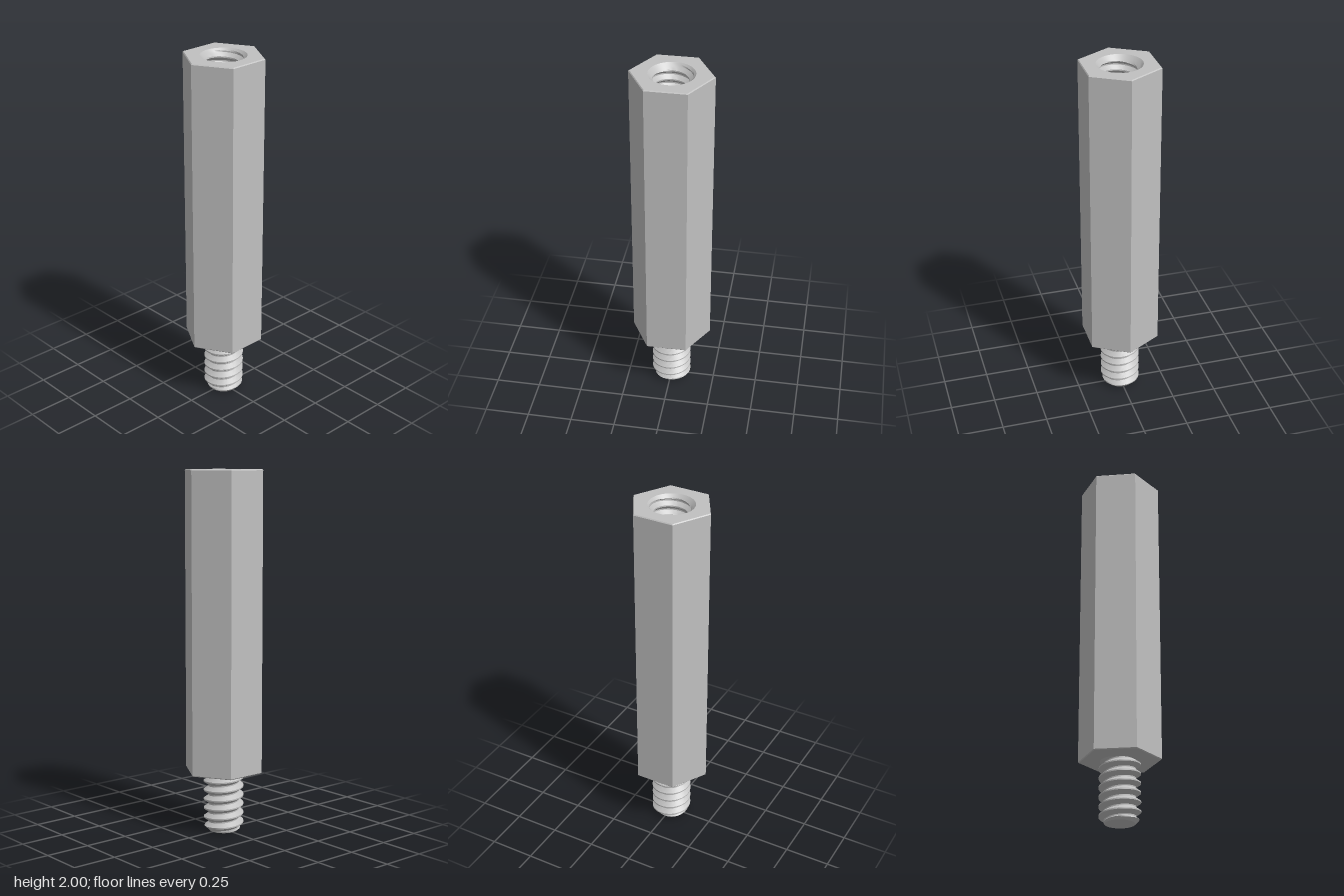
import * as THREE from 'three';
import { toCreasedNormals } from 'three/addons/utils/BufferGeometryUtils.js';

const PITCH = 0.0515;
const SEGMENTS = 64;
const STUD_TOP = 0.34;
const TOP = 2;
const HEX_RADIUS = 0.223;
const CHAMFER = 0.005;
const MOUTH_RADIUS = 0.123;
const BORE_FLOOR = 1.15;

// One tooth: [fraction of pitch, height from root (0) to crest (1)]
const TOOTH = [[0, 0], [0.14, 0], [0.26, 0.33], [0.38, 0.67], [0.5, 1], [0.64, 1], [0.76, 0.67], [0.88, 0.33]];

// Right-handed helical thread from y0 to y1; limit(r, y) trims it to its lead-in cone.
function threadGeometry(y0, y1, root, crest, limit, inward) {
  const turns = Math.ceil((y1 - y0) / PITCH) + 1;
  const rows = [];
  for (let k = -1; k < turns; k++) {
    for (const [f, h] of TOOTH) rows.push([y0 + (k + f) * PITCH, root + (crest - root) * h]);
  }
  const positions = [];
  const index = [];
  for (const [y, radius] of rows) {
    for (let i = 0; i <= SEGMENTS; i++) {
      const angle = (i / SEGMENTS) * Math.PI * 2;
      const height = THREE.MathUtils.clamp(y + (i / SEGMENTS) * PITCH, y0, y1);
      const r = limit(radius, height);
      positions.push(r * Math.cos(angle), height, -r * Math.sin(angle));
    }
  }
  const addTriangle = (a, b, c) => {
    const ys = [a, b, c].map((v) => positions[v * 3 + 1]);
    if (Math.max(...ys) - Math.min(...ys) < 1e-7) return; // trimmed away
    index.push(a, ...(inward ? [c, b] : [b, c]));
  };
  for (let j = 0; j < rows.length - 1; j++) {
    for (let i = 0; i < SEGMENTS; i++) {
      const a = j * (SEGMENTS + 1) + i;
      const d = a + SEGMENTS + 1;
      addTriangle(a, a + 1, d + 1);
      addTriangle(a, d + 1, d);
    }
  }
  const geometry = new THREE.BufferGeometry();
  geometry.setAttribute('position', new THREE.Float32BufferAttribute(positions, 3));
  geometry.setIndex(index);
  return toCreasedNormals(geometry, 0.35);
}

function disc(radius, y, facingUp) {
  const geometry = new THREE.CircleGeometry(radius, SEGMENTS);
  geometry.rotateX(facingUp ? -Math.PI / 2 : Math.PI / 2);
  return geometry.translate(0, y, 0);
}

export function createModel() {
  const group = new THREE.Group();
  group.name = 'hexStandoff';
  const metal = new THREE.MeshStandardMaterial({ color: 0xc0c0c0 });
  metal.name = 'metal';

  const add = (name, geometry) => {
    const mesh = new THREE.Mesh(geometry, metal);
    mesh.name = name;
    group.add(mesh);
  };

  // Hexagonal body with its underside and fine chamfers
  const inner = HEX_RADIUS - CHAMFER;
  const profile = [
    [0, STUD_TOP], [inner, STUD_TOP], [HEX_RADIUS, STUD_TOP + CHAMFER],
    [HEX_RADIUS, TOP - CHAMFER], [inner, TOP],
  ].map(([r, y]) => new THREE.Vector2(r, y));
  const body = new THREE.LatheGeometry(profile, 6, Math.PI / 2).toNonIndexed();
  body.computeVertexNormals();
  add('hexBody', body);

  // Top face around the bore mouth
  const face = new THREE.Shape();
  for (let i = 0; i < 6; i++) {
    const a = (i * Math.PI) / 3;
    face[i ? 'lineTo' : 'moveTo'](inner * Math.cos(a), inner * Math.sin(a));
  }
  face.closePath();
  const hole = new THREE.Path();
  hole.absarc(0, 0, MOUTH_RADIUS, 0, Math.PI * 2, true);
  face.holes.push(hole);
  add('topFace', new THREE.ShapeGeometry(face, SEGMENTS / 2).rotateX(-Math.PI / 2).translate(0, TOP, 0));

  // Threaded bore with a countersunk mouth and a flat floor
  add('boreThread', threadGeometry(BORE_FLOOR, TOP, 0.111, 0.091,
    (r, y) => Math.max(r, MOUTH_RADIUS - (TOP - y)), true));
  add('boreFloor', disc(0.112, BORE_FLOOR, true));

  // Threaded stud with a tapered tip
  const tipRadius = 0.08;
  add('studThread', threadGeometry(0, STUD_TOP + 0.01, 0.085, 0.111,
    (r, y) => Math.min(r, tipRadius + y), false));
  add('studTip', disc(tipRadius, 0, false));

  return group;
}
